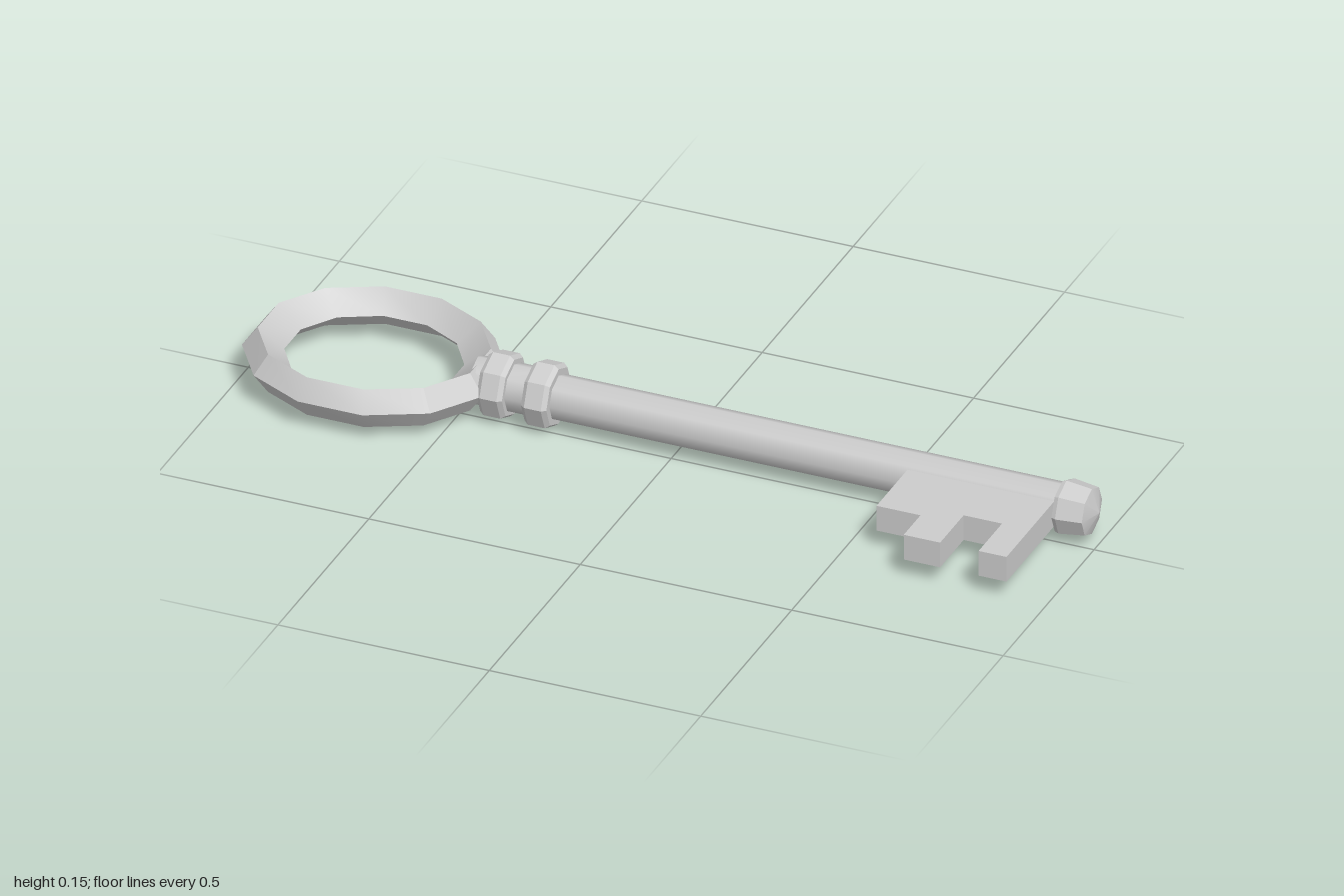
import * as THREE from 'three';
import { toCreasedNormals } from 'three/addons/utils/BufferGeometryUtils.js';

const AXIS_Y = 0.076, AXIS_Z = -0.03;

export function createModel() {
  const key = new THREE.Group();
  key.name = 'key';
  const metal = new THREE.MeshStandardMaterial({ color: 0xcccccc });
  metal.name = 'grey metal';

  const add = (name, geometry) => {
    const mesh = new THREE.Mesh(geometry, metal);
    mesh.name = name;
    key.add(mesh);
  };

  // Eight-sided turned part along x; profile is a list of [x, radius]
  const turned = (name, profile, crease) => {
    const g = new THREE.LatheGeometry(profile.map(([x, r]) => new THREE.Vector2(r, x)), 8);
    g.rotateZ(-Math.PI / 2);
    g.translate(0, AXIS_Y, AXIS_Z);
    add(name, crease ? toCreasedNormals(g, crease) : g);
  };

  turned('shaft', [[-0.3, 0.052], [0.93, 0.052]]);
  turned('neck', [[-0.47, 0], [-0.47, 0.056], [-0.28, 0.056]], 0.9);
  for (const x of [-0.414, -0.309]) {
    turned('collar', [
      [x - 0.03, 0.05], [x - 0.03, 0.068], [x - 0.02, 0.076],
      [x + 0.02, 0.076], [x + 0.03, 0.068], [x + 0.03, 0.05],
    ], 0.4);
  }
  turned('tip', [[0.91, 0.045], [0.912, 0.06], [0.922, 0.064], [0.982, 0.056], [1, 0]], 0.4);

  // Oval bow: twelve segments of a diamond section, [x radius, z radius, y]
  const section = [
    [0.295, 0.253, 0], [0.26, 0.222, 0.047], [0.2, 0.176, 0], [0.26, 0.222, -0.047],
  ];
  const sides = 12, n = section.length, points = [], faces = [];
  for (let i = 0; i < sides; i++) {
    const a = ((i + 0.5) / sides) * Math.PI * 2;
    section.forEach(([rx, rz, y], j) => {
      points.push(-0.715 + rx * Math.cos(a), AXIS_Y + y, AXIS_Z + rz * Math.sin(a));
      const at = (u, v) => (u % sides) * n + (v % n);
      faces.push(at(i, j), at(i, j + 1), at(i + 1, j + 1), at(i, j), at(i + 1, j + 1), at(i + 1, j));
    });
  }
  const bow = new THREE.BufferGeometry();
  bow.setAttribute('position', new THREE.Float32BufferAttribute(points, 3));
  bow.setIndex(faces);
  add('bow', toCreasedNormals(bow, 0.4));

  // Notched bit, drawn in x and z and extruded upward
  const outline = [
    [0.563, -0.03], [0.563, 0.18], [0.667, 0.18], [0.667, 0.272], [0.753, 0.272],
    [0.753, 0.143], [0.844, 0.143], [0.844, 0.272], [0.91, 0.272], [0.91, -0.03],
  ];
  const bit = new THREE.ExtrudeGeometry(
    new THREE.Shape(outline.map(([x, z]) => new THREE.Vector2(x, -z))),
    { depth: 0.062, bevelEnabled: false });
  bit.rotateX(-Math.PI / 2);
  bit.translate(0, 0.044, 0);
  add('bit', bit);

  return key;
}
